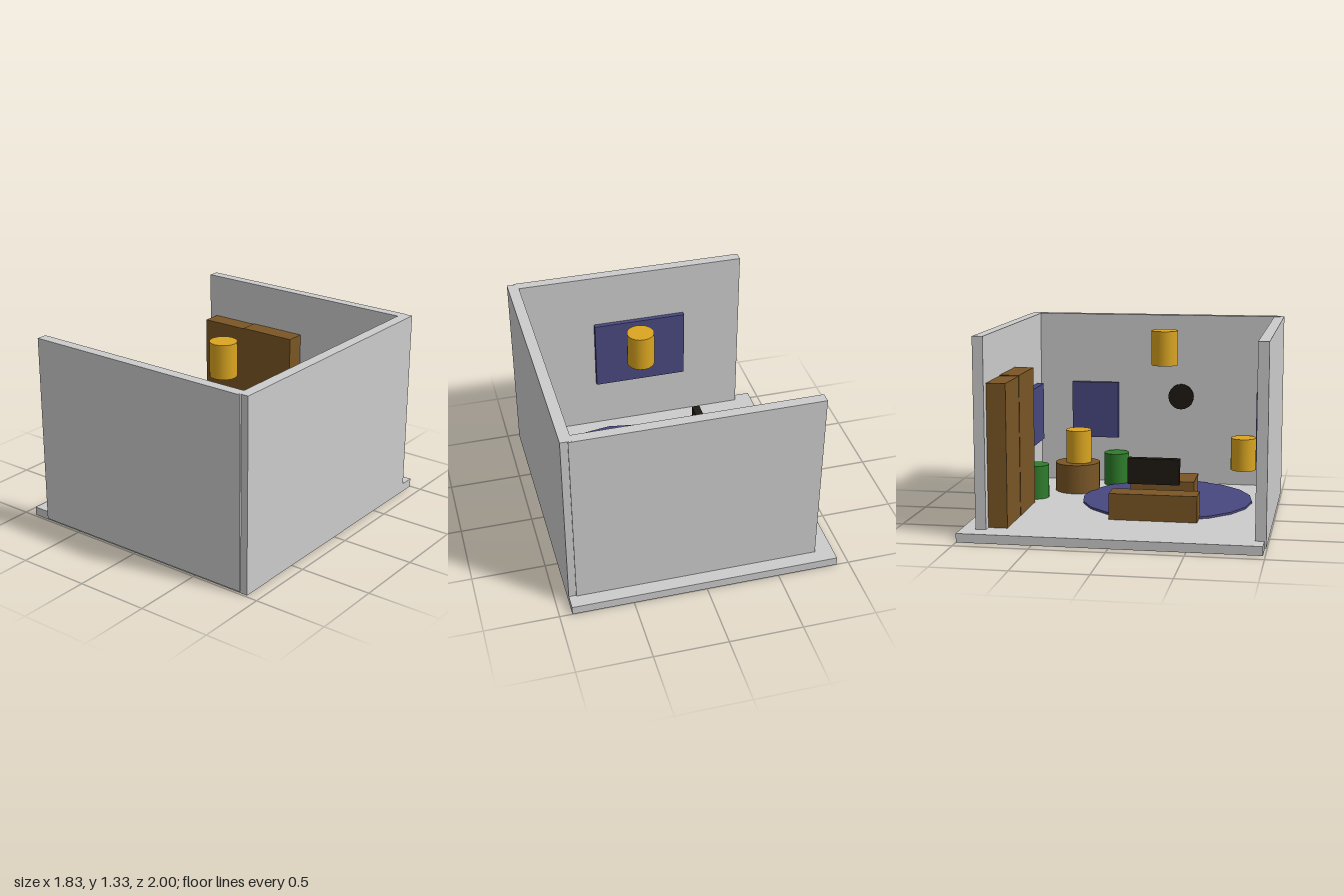
import * as THREE from 'three';

const mat = (color) => new THREE.MeshStandardMaterial({ color });

export function createModel() {
  const room = new THREE.Group();
  room.name = 'room';

  const grey = mat(0xcccccc);
  const wood = mat(0x7a5626);
  const blue = mat(0x484880);
  const amber = mat(0xdaa520);
  const green = mat(0x2d7d2a);
  const black = mat(0x1e1a14);

  const add = (name, geometry, material, x, y, z) => {
    const mesh = new THREE.Mesh(geometry, material);
    mesh.name = name;
    mesh.position.set(x, y, z);
    room.add(mesh);
    return mesh;
  };

  // Box given by its extents on each axis
  const box = (name, material, [x0, x1], [y0, y1], [z0, z1]) =>
    add(name, new THREE.BoxGeometry(x1 - x0, y1 - y0, z1 - z0), material,
      (x0 + x1) / 2, (y0 + y1) / 2, (z0 + z1) / 2);

  // Upright cylinder given by radius and bottom and top heights
  const drum = (name, material, r, [y0, y1], x, z) =>
    add(name, new THREE.CylinderGeometry(r, r, y1 - y0, 20), material, x, (y0 + y1) / 2, z);

  const floorTop = 0.06;

  // Shell: floor slab and three walls, open on the right side
  box('floor', grey, [-0.915, 0.915], [0, floorTop], [-1, 0.985]);
  box('frontWall', grey, [-0.79, 0.865], [0.015, 1.33], [0.925, 0.997]);
  box('backWall', grey, [-0.79, 0.865], [0.015, 1.33], [-0.903, -0.832]);
  box('leftWall', grey, [0.84, 0.915], [0.015, 1.331], [-0.895, 0.985]);

  // Round rug; its leftmost corner runs into the wall
  drum('rug', blue, 0.605, [floorTop, 0.075], 0.25, 0.22);

  // Pair of bookcases along the back wall
  box('bookcase', wood, [-0.73, -0.38], [floorTop, 1.02], [-0.835, -0.703]);
  box('bookcase', wood, [-0.38, 0.038], [floorTop, 1.025], [-0.835, -0.7]);

  // Low cabinet with a screen above it
  box('cabinet', wood, [-0.387, -0.222], [floorTop, 0.24], [-0.09, 0.508]);
  box('screen', black, [-0.335, -0.28], [0.3, 0.475], [0.03, 0.38]);

  // Coffee table, turned slightly
  const table = box('coffeeTable', wood, [-0.013, 0.283], [floorTop, 0.255], [-0.005, 0.44]);
  table.rotation.y = 0.02;

  // Round side table
  drum('sideTable', wood, 0.163, [floorTop, 0.27], 0.493, -0.482);

  // Lamps: hanging, table and corner
  const lamps = [['hangingLamp', 0.137, 1.05, 0.213], ['tableLamp', 0.5, 0.27, -0.475],
    ['cornerLamp', 0.74, 0.2, 0.72]];
  for (const [name, x, y, z] of lamps) drum(name, amber, 0.093, [y, y + 0.24], x, z);

  // Potted plants
  for (const [x, z] of [[0.207, -0.73], [0.742, -0.235]]) {
    drum('plant', green, 0.093, [floorTop, 0.3], x, z);
  }

  // Wall panels: one on the front wall, a pair on each of the others
  box('frontPanel', blue, [-0.36, 0.313], [0.43, 0.94], [0.89, 0.927]);
  for (const span of [[0.265, 0.48], [0.48, 0.678]]) {
    box('backPanel', blue, span, [0.4, 0.82], [-0.826, -0.778]);
  }
  for (const span of [[-0.583, -0.375], [-0.375, -0.233]]) {
    box('leftPanel', blue, [0.8, 0.842], [0.4, 0.82], span);
  }

  // Wall clock
  const clock = drum('clock', black, 0.095, [0.71, 0.73], 0.834, 0.24);
  clock.rotation.z = Math.PI / 2;

  return room;
}
